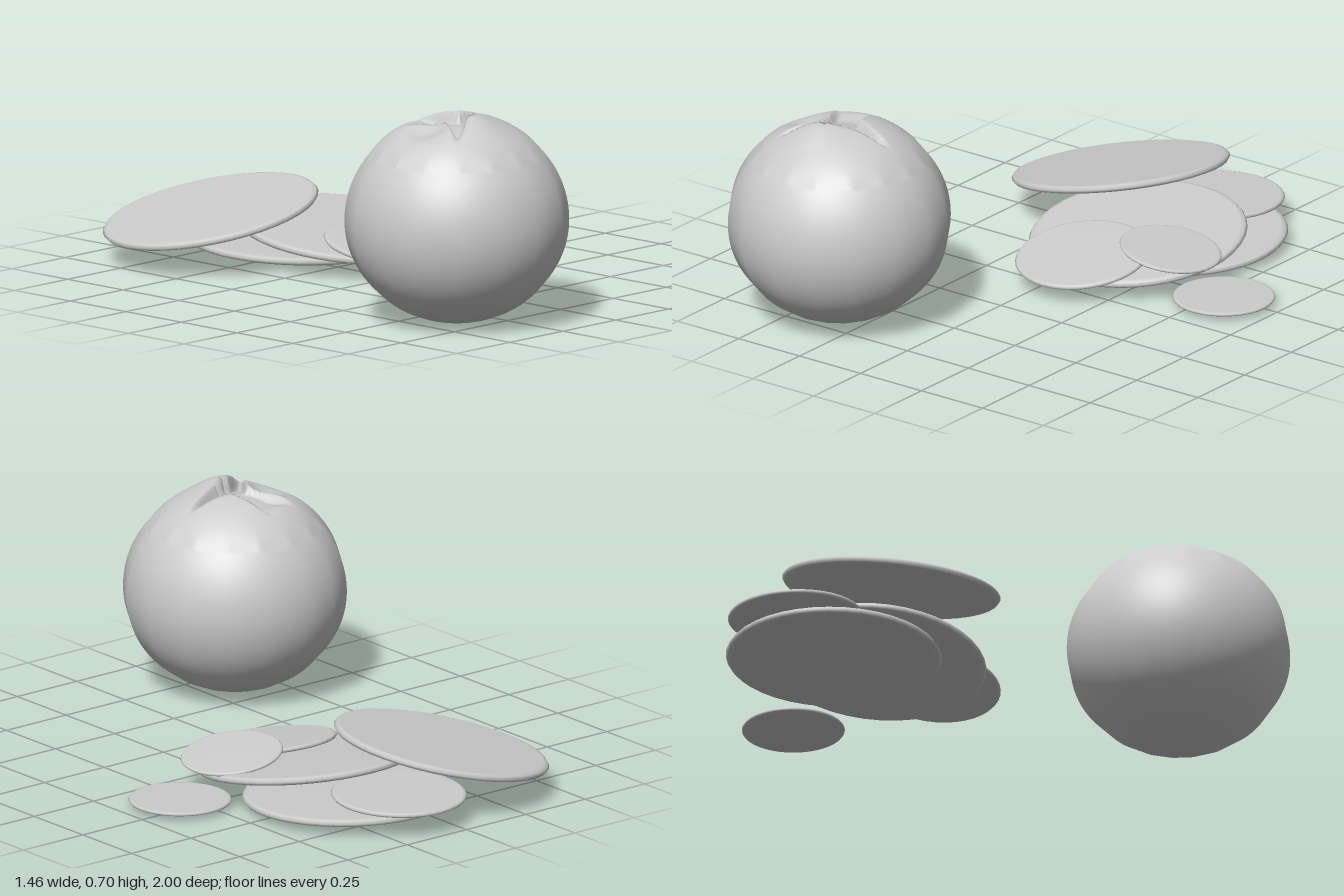
import * as THREE from 'three';

const material = new THREE.MeshStandardMaterial({ color: 0xcccccc });
const { smoothstep } = THREE.MathUtils;

// Thin disc with a rounded rim, tilted by its slopes in x and z
function makeDisc(name, x, y, z, r, slopeX, slopeZ) {
  const h = r * 0.038;
  const profile = [
    [0, -h], [r - 1.6 * h, -h], [r - 0.5 * h, -0.7 * h], [r, 0],
    [r - 0.5 * h, 0.7 * h], [r - 1.6 * h, h], [0, h],
  ].map(([px, py]) => new THREE.Vector2(px, py));
  const disc = new THREE.Mesh(new THREE.LatheGeometry(profile, 40), material);
  disc.name = name;
  disc.position.set(x, y, z);
  const normal = new THREE.Vector3(-slopeX, 1, -slopeZ).normalize();
  disc.quaternion.setFromUnitVectors(new THREE.Vector3(0, 1, 0), normal);
  return disc;
}

// Three grooves meeting at the mouth: direction, length, half width at the mouth and at the tip
const grooves = [
  { angle: 0, length: 0.22, wide: 0.065, tip: 0 },
  { angle: 2.36, length: 0.22, wide: 0.06, tip: 0 },
  { angle: 4.43, length: 0.2, wide: 0.05, tip: 0.065 },
];

// Height change of the crown at an offset from the mouth
function crownOffset(x, z) {
  let inside = 0;
  for (const g of grooves) {
    const u = x * Math.cos(g.angle) + z * Math.sin(g.angle);
    const v = Math.abs(-x * Math.sin(g.angle) + z * Math.cos(g.angle));
    if (u < -0.03 || u > g.length) continue;
    const t = Math.max(u, 0) / g.length;
    const width = THREE.MathUtils.lerp(g.wide, g.tip, Math.sqrt(t));
    const cut = (1 - smoothstep(v, width - 0.008, width + 0.008)) * (1 - smoothstep(t, 0.45, 1));
    inside = Math.max(inside, cut);
  }
  // raised lip of the front fold, flattened left fold
  const frontLip = 0.016 * Math.exp(-((x + 0.02) ** 2 + (z - 0.1) ** 2) / 0.006);
  const leftDip = 0.035 * Math.exp(-((x + 0.12) ** 2 + (z + 0.01) ** 2) / 0.005);
  return -0.045 * inside + (frontLip - leftDip) * (1 - inside);
}

function makeBall() {
  const sides = 16;
  const geometry = new THREE.SphereGeometry(1, sides * 8, 90);
  const pos = geometry.attributes.position;
  const smooth = geometry.attributes.normal.clone();
  const step = (2 * Math.PI) / sides;
  for (let i = 0; i < pos.count; i++) {
    const x = pos.getX(i), y = pos.getY(i), z = pos.getZ(i);
    // sixteen-sided outline, round again towards the crown
    let a = Math.atan2(z, x) + 2 * Math.PI;
    a = (a % step) - step / 2;
    const polygon = Math.cos(step / 2) / Math.cos(a);
    const facet = THREE.MathUtils.lerp(polygon, 1, smoothstep(y, 0.6, 0.8));
    const px = x * 0.366 * facet, pz = z * 0.366 * facet;
    let py = y * (y > 0 ? 0.355 : 0.336);
    if (y > 0.6) py += crownOffset(px, pz) * smoothstep(y, 0.68, 0.82);
    pos.setXYZ(i, px, py, pz);
  }
  geometry.computeVertexNormals();
  // smooth shading on the body, real creases on the crown
  const normal = geometry.attributes.normal;
  for (let i = 0; i < pos.count; i++) {
    if (pos.getY(i) < 0.21) {
      normal.setXYZ(i, smooth.getX(i), smooth.getY(i), smooth.getZ(i));
    }
  }
  const ball = new THREE.Mesh(geometry, material);
  ball.name = 'foldedBall';
  ball.position.set(-0.367, 0.338, 0.635);
  return ball;
}

export function createModel() {
  const model = new THREE.Group();
  model.name = 'ballAndDiscs';
  model.add(makeBall());

  // Loose pile of discs
  const pile = new THREE.Group();
  pile.name = 'discPile';
  pile.add(
    makeDisc('largeTopDisc', -0.19, 0.16, -0.64, 0.358, 0.2, 0.08),
    makeDisc('mediumBackDisc', 0.1, 0.088, -0.775, 0.222, 0, 0.03),
    makeDisc('largeBottomDisc', 0.122, 0.036, -0.55, 0.352, 0, -0.035),
    makeDisc('largeMiddleDisc', 0.122, 0.1, -0.325, 0.358, 0, -0.14),
    makeDisc('mediumFrontDisc', 0.08, 0.092, -0.085, 0.222, 0.01, -0.17),
    makeDisc('smallUpperDisc', 0.342, 0.135, -0.213, 0.168, -0.16, 0.02),
    makeDisc('smallGroundDisc', 0.56, 0.023, -0.213, 0.168, 0, 0),
  );
  model.add(pile);
  return model;
}
